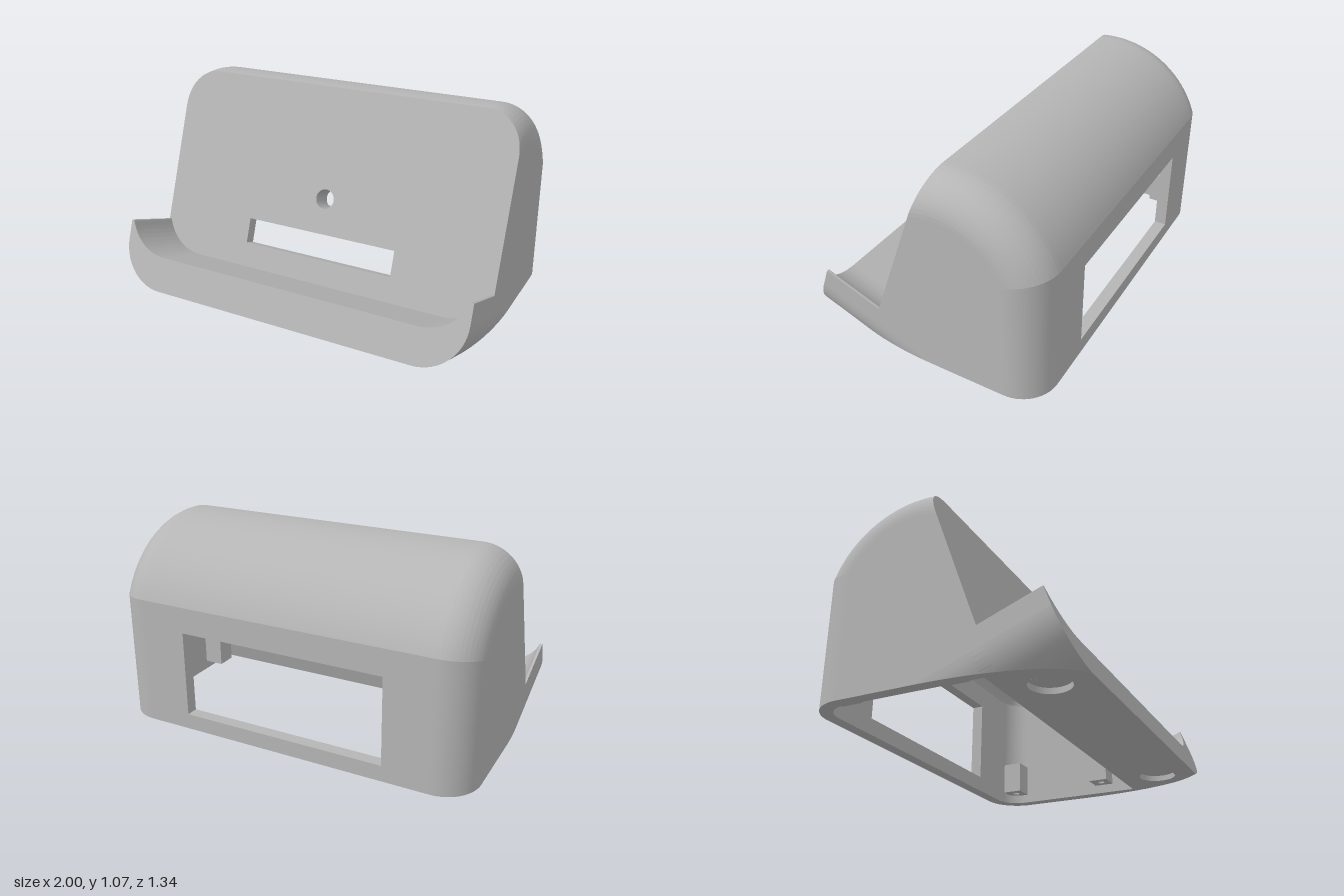
import * as THREE from 'three';

const TILT = Math.PI / 9, S = Math.sin(TILT), C = Math.cos(TILT);
const FRONT = 0.67, BACK = -0.67;      // z limits on the ground
const FACE = 0.335, WALL = 0.065;      // depth of the resting face, wall thickness
const ZC = -0.13, YC = 0.496, R = 0.574; // big rounded back, seen from the side
const LIP = 0.356, TROUGH = 0.19;

// corner roundings as functions of x
const fillet = (x, r) => {
  const e = Math.max(0, Math.abs(x) - 0.81);
  return r - Math.sqrt(Math.max(0, r * r - e * e));
};
const under = (x) => {
  const e = Math.max(0, Math.abs(x) - 0.75);
  return 0.25 - Math.sqrt(Math.max(0, 0.0625 - e * e));
};
const lipTop = (x) => Math.min(TROUGH + under(x), LIP);
const faceTop = (x) => 0.74 + Math.sqrt((R - fillet(x, 0.19)) ** 2 - (0.582 - FACE) ** 2);

// x samples, denser towards the rounded ends
function samples(start, r, n = 14) {
  const half = [];
  for (let i = 0; i <= n; i++) half.push(start + r * Math.sin((i / n) * Math.PI / 2));
  return half;
}
const mirrorList = (a) => [...a.map((x) => -x).reverse(), ...a];
const merged = [...new Set([...samples(0.75, 0.25), ...samples(0.81, 0.19)].map((x) => +x.toFixed(5)))].sort((a, b) => a - b);
const XS = mirrorList(merged);
const XIN = mirrorList(samples(0.81, 0.125));

// side point [z, y] from height v along the tilt and depth d behind the lip front
const side = (v, d) => [FRONT - v * S - d * C, v * C - d * S];

// rounded back line [z, y] for a given inset and starting depth
function arc(inset, depth, n = 28) {
  const r = R - inset, pts = [];
  const a = Math.asin((depth - 0.582) / r) + TILT;
  const b = Math.asin((ZC - BACK - inset) / r);
  for (let i = 0; i <= n; i++) {
    const t = a + (b - a) * i / n;
    pts.push([ZC - r * Math.sin(t), YC + r * Math.cos(t)]);
  }
  return pts;
}

// skin over rows of [z, y] points, one row for each x
function loft(xs, row) {
  const pos = [], idx = [];
  let n = 0;
  for (const x of xs) {
    const pts = row(x);
    n = pts.length;
    for (const [z, y] of pts) pos.push(x, y, z);
  }
  for (let i = 0; i < xs.length - 1; i++) for (let j = 0; j < n - 1; j++) {
    const a = i * n + j, b = a + n;
    idx.push(a, a + 1, b, b, a + 1, b + 1);
  }
  const g = new THREE.BufferGeometry();
  g.setAttribute('position', new THREE.Float32BufferAttribute(pos, 3));
  g.setIndex(idx);
  g.computeVertexNormals();
  return g;
}

const shape = (pts) => new THREE.Shape(pts.map(([x, y]) => new THREE.Vector2(x, y)));
const rect = (x0, y0, x1, y1) => [[x0, y0], [x1, y0], [x1, y1], [x0, y1]];
const circle = (x, y, r) => new THREE.Path().absarc(x, y, r, 0, Math.PI * 2, false);
const band = (xs, lo, hi) => shape([...xs.map((x) => [x, lo(x)]), ...[...xs].reverse().map((x) => [x, hi(x)])]);
const extrude = (s, depth) => new THREE.ExtrudeGeometry(s, { depth, bevelEnabled: false, curveSegments: 28 });

export function createModel() {
  const grey = new THREE.MeshStandardMaterial({ color: 0xb5b5b5, side: THREE.DoubleSide });
  grey.name = 'grey plastic';
  const model = new THREE.Group();
  model.name = 'deskDock';
  const tilted = new THREE.Group();
  tilted.name = 'tiltedFront';
  tilted.rotation.x = -TILT;
  tilted.position.z = FRONT;
  model.add(tilted);
  const add = (name, geo, parent = model, x = 0, y = 0, z = 0) => {
    const m = new THREE.Mesh(geo, grey);
    m.name = name;
    m.position.set(x, y, z);
    parent.add(m);
    return m;
  };

  // resting face with connector slot and centre hole
  const face = band(XS, (x) => Math.max(0.146, under(x)), faceTop);
  face.holes.push(shape(rect(-0.445, 0.324, 0.445, 0.463)), circle(0, 0.654, 0.053));
  add('restingFace', extrude(face, WALL), tilted, 0, 0, -FACE - WALL);

  // block behind the centre hole and two rings on the inside of the face
  const block = shape(rect(-0.11, 0.544, 0.11, 0.764));
  block.holes.push(circle(0, 0.654, 0.053));
  add('holeBlock', extrude(block, 0.06), tilted, 0, 0, -FACE - WALL - 0.06);
  for (const sx of [-1, 1]) {
    const ring = new THREE.Shape().absarc(0, 0, 0.13, 0, Math.PI * 2, false);
    ring.holes.push(circle(0, 0, 0.105));
    add('innerRing', extrude(ring, 0.05), tilted, sx * 0.52, 0.645, -FACE - WALL - 0.05);
  }

  // front lip, trough and rounded underside
  add('lipFront', new THREE.ShapeGeometry(band(XS, under, lipTop)), tilted);
  add('trough', loft(XS, (x) => [[0, lipTop(x)], [-FACE, lipTop(x)]]), tilted);
  for (const sx of [-1, 1]) {
    add('roundedUnderside', loft(samples(0.75, 0.25).map((x) => x * sx),
      (x) => [[0, under(x)], [-under(x) * C / S, under(x)]]), tilted);
  }

  // rounded back, outside and inside
  add('roundedBack', loft(XS, (x) => arc(fillet(x, 0.19), FACE)));
  const inset = (x) => WALL + fillet(x, 0.125);
  add('roundedBackInside', loft(XIN, (x) => arc(inset(x), FACE + WALL)));

  // back wall with a large opening
  const wall = shape(rect(-0.81, 0, 0.81, arc(0, FACE).at(-1)[1]));
  wall.holes.push(shape(rect(-0.563, 0.085, 0.563, 0.55)));
  add('backWall', extrude(wall, WALL), model, 0, 0, BACK);

  for (const sx of [-1, 1]) {
    // upright rounded corners
    const corner = (r, off, depth) => loft(samples(0.81, r).map((x) => x * sx), (x) => {
      const end = arc(off + fillet(x, r), depth).at(-1);
      return [end, [end[0], 0]];
    });
    add('backCorner', corner(0.19, 0, FACE));
    add('backCornerInside', corner(0.125, WALL, FACE + WALL));

    // flat side walls
    const outer = shape([side(0.25, 0), side(LIP, 0), side(LIP, FACE), ...arc(0.19, FACE),
      [BACK + 0.19, 0], [FRONT - 0.25 / S, 0]]);
    add('sideWall', new THREE.ShapeGeometry(outer).rotateY(-Math.PI / 2), model, sx);
    const inner = shape([[FRONT - (FACE + WALL) / C, 0], ...arc(0.19, FACE + WALL), [BACK + 0.19, 0]]);
    add('sideWallInside', new THREE.ShapeGeometry(inner).rotateY(-Math.PI / 2), model, sx * 0.935);

    // foot recesses
    add('footRecessWall', new THREE.CylinderGeometry(0.1, 0.1, 0.03, 32, 1, true), model, sx * 0.74, 0.015, 0.46);
    add('footRecessTop', new THREE.CircleGeometry(0.1, 32).rotateX(Math.PI / 2), model, sx * 0.74, 0.03, 0.46);

    // screw posts inside the shell
    for (const z of [0.06, -0.52]) {
      const post = shape(rect(-0.055, -0.055, 0.055, 0.055));
      post.holes.push(circle(0, 0, 0.022));
      add('screwPost', extrude(post, 0.18).rotateX(-Math.PI / 2), model, sx * 0.88, 0.05, z);
    }
  }

  // underside rim and lip floor, open behind the face
  const base = band(XS, (x) => BACK + fillet(x, 0.19), (x) => FRONT - under(x) / S);
  base.holes.push(band(XIN, (x) => BACK + inset(x), () => FRONT - (FACE + WALL) / C));
  for (const sx of [-1, 1]) base.holes.push(circle(sx * 0.74, 0.46, 0.1));
  add('undersideRim', new THREE.ShapeGeometry(base, 32).rotateX(Math.PI / 2));

  return model;
}
